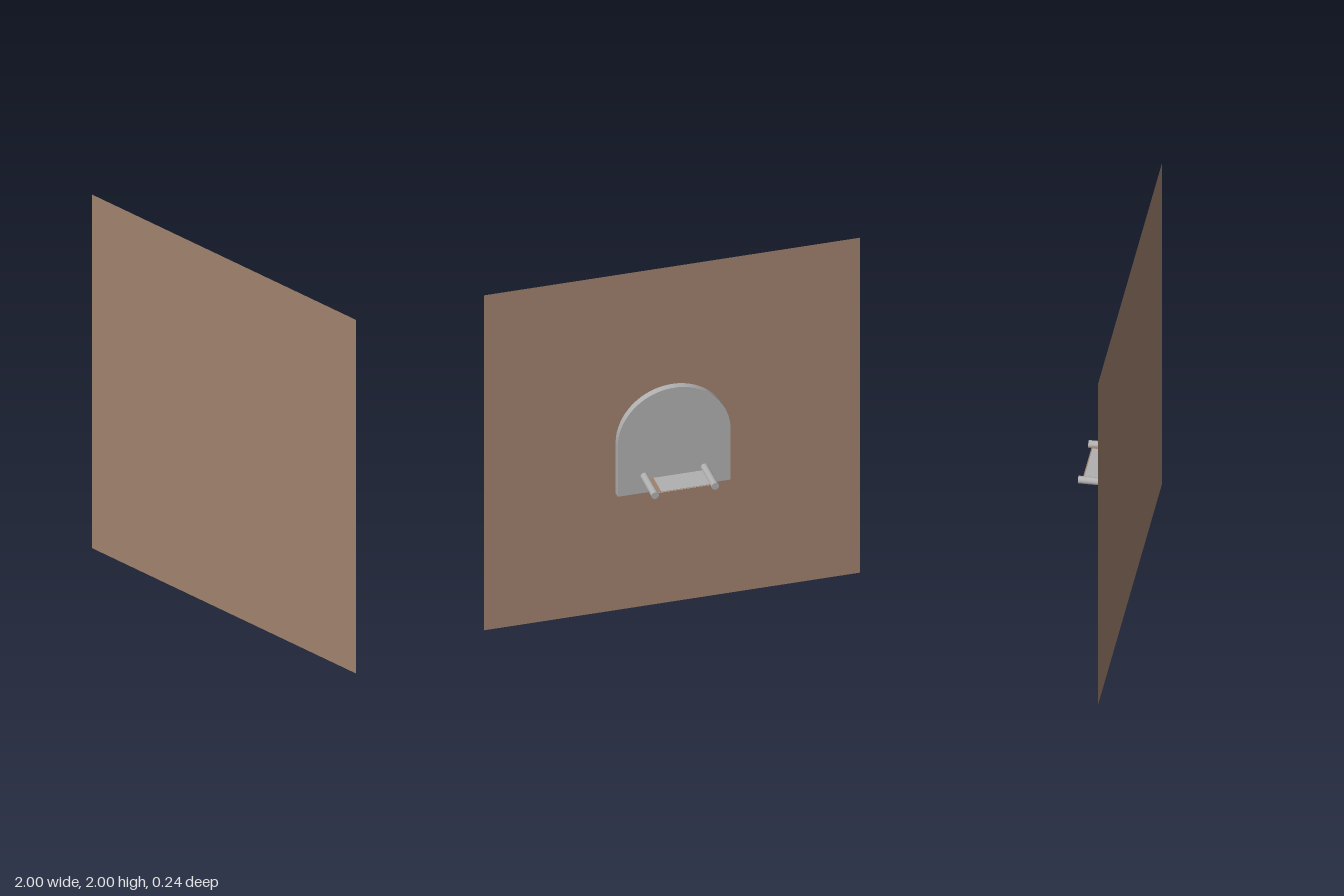
import * as THREE from 'three';

export function createModel() {
  const model = new THREE.Group();
  const brown = new THREE.MeshStandardMaterial({ name: 'brown', color: 0xa0826d, side: THREE.DoubleSide });
  const grey = new THREE.MeshStandardMaterial({ name: 'grey', color: 0xb0b0b0 });
  const greySheet = new THREE.MeshStandardMaterial({ name: 'greySheet', color: 0xb0b0b0, side: THREE.DoubleSide });

  const add = (name, geometry, material, x, y, z) => {
    const mesh = new THREE.Mesh(geometry, material);
    mesh.name = name;
    mesh.position.set(x, y, z);
    model.add(mesh);
    return mesh;
  };

  // Large square wall sheet
  add('wallPanel', new THREE.PlaneGeometry(2, 2), brown, 0, 1, 0.12);

  // Arched back plate, straight below and semicircular above, just behind the wall sheet
  const arch = new THREE.Shape();
  arch.moveTo(-0.3, -0.3);
  arch.lineTo(0.3, -0.3);
  arch.lineTo(0.3, 0);
  arch.absarc(0, 0, 0.3, 0, Math.PI, false);
  arch.closePath();
  const plate = new THREE.ExtrudeGeometry(arch, { depth: 0.039, bevelEnabled: false, curveSegments: 32 });
  add('archedPlate', plate, grey, 0, 1, 0.08);

  // Two round pegs pointing backwards
  const peg = new THREE.CylinderGeometry(0.02, 0.02, 0.2, 24).rotateX(Math.PI / 2);
  for (const side of [-1, 1]) {
    add(side > 0 ? 'leftPeg' : 'rightPeg', peg, grey, side * 0.16, 0.8, -0.02);
  }

  // Thin shelf sheet between the pegs, with a brown strip along its left and back edges
  const sheet = (w, d) => new THREE.PlaneGeometry(w, d).rotateX(-Math.PI / 2);
  add('shelf', sheet(0.3, 0.15), greySheet, 0, 0.8, -0.025);
  add('shelfSideStrip', sheet(0.03, 0.15), brown, 0.135, 0.802, -0.025);
  add('shelfBackStrip', sheet(0.27, 0.006), brown, -0.015, 0.802, -0.097);

  return model;
}
